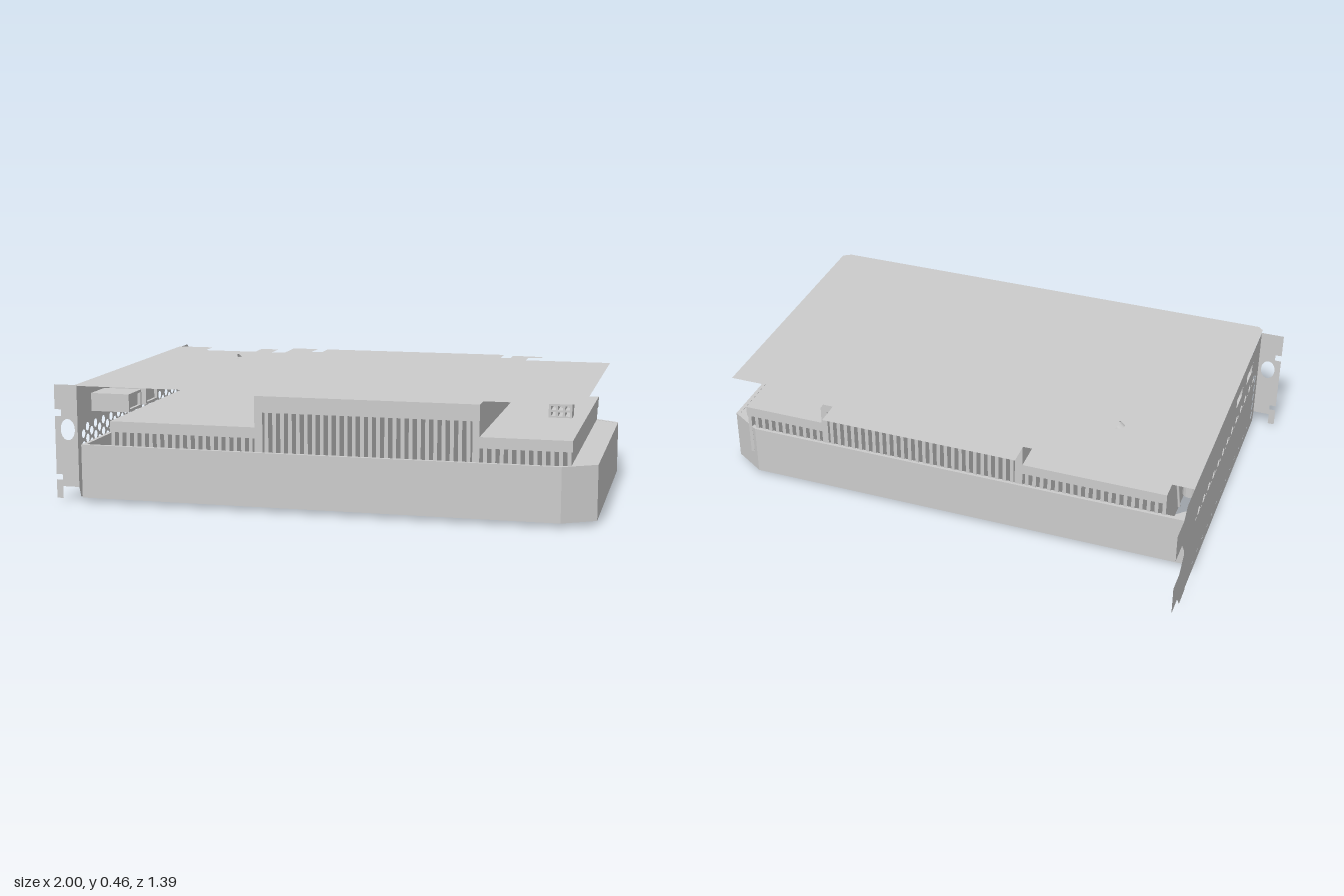
import * as THREE from 'three';
import { mergeGeometries } from 'three/addons/utils/BufferGeometryUtils.js';

const mat = new THREE.MeshStandardMaterial({ color: 0xcccccc, flatShading: true });
const thin = new THREE.MeshStandardMaterial({ color: 0xcccccc, flatShading: true, side: THREE.DoubleSide });
const smooth = new THREE.MeshStandardMaterial({ color: 0xcccccc, side: THREE.DoubleSide });

const shapeOf = pts => new THREE.Shape(pts.map(p => new THREE.Vector2(p[0], p[1])));
const rect = (x0, y0, x1, y1) => [[x0, y0], [x1, y0], [x1, y1], [x0, y1]];
const hole = pts => new THREE.Path(pts.map(p => new THREE.Vector2(p[0], p[1])));

function mesh(parent, name, geo, material = mat) {
  const m = new THREE.Mesh(geo, material);
  m.name = name;
  parent.add(m);
  return m;
}

// Box given by its lower and upper corner
function boxGeo(x0, y0, z0, x1, y1, z1) {
  return new THREE.BoxGeometry(x1 - x0, y1 - y0, z1 - z0)
    .translate((x0 + x1) / 2, (y0 + y1) / 2, (z0 + z1) / 2);
}

// Plan outline (x, z) extruded downwards from yTop
function slab(shape, yTop, depth) {
  return new THREE.ExtrudeGeometry(shape, { depth, bevelEnabled: false, curveSegments: 8 })
    .rotateX(Math.PI / 2).translate(0, yTop, 0);
}

const FANS = [[-0.41, 0.13], [0.48, 0.13]];

function buildShroud(g) {
  const outer = [[-0.9, -0.37], [0.875, -0.37], [0.995, -0.295], [0.995, 0.58], [0.875, 0.65], [-0.9, 0.65]];
  const inner = [[-0.885, -0.355], [0.87, -0.355], [0.98, -0.286], [0.98, 0.57], [0.87, 0.635], [-0.885, 0.635]];
  const wall = shapeOf(outer);
  wall.holes.push(hole(inner));
  mesh(g, 'shroudWall', slab(wall, 0.22, 0.188));
  // Face plate with an eight-sided opening for each fan
  const plate = shapeOf(outer);
  const a = 0.4, b = 0.2;
  for (const [cx, cz] of FANS) {
    plate.holes.push(hole([[-b, -a], [b, -a], [a, -b], [a, b], [b, a], [-b, a], [-a, b], [-a, -b]]
      .map(([x, z]) => [cx + x, cz + z])));
  }
  mesh(g, 'shroudFace', slab(plate, 0.034, 0.014));
  mesh(g, 'shroudEndLedge', slab(shapeOf([[0.9, -0.354], [0.995, -0.295], [0.995, 0.58], [0.9, 0.635]]), 0.219, 0.01));
}

function buildFan(g, cx, cz) {
  const fan = new THREE.Group();
  fan.name = 'fan';
  fan.position.set(cx, 0, cz);
  g.add(fan);
  const hub = [[0, 0.004], [0.1, 0.004], [0.11, 0.014], [0.11, 0.09], [0, 0.09]];
  mesh(fan, 'fanHub', new THREE.LatheGeometry(hub.map(p => new THREE.Vector2(p[0], p[1])), 28), thin);
  // One swept blade, pitched from leading to trailing edge
  const blade = new THREE.PlaneGeometry(1, 1, 6, 3);
  const p = blade.attributes.position;
  for (let i = 0; i < p.count; i++) {
    const t = p.getX(i) + 0.5, s = p.getY(i) + 0.5;
    const r = 0.1 + 0.24 * t;
    const ang = s * 0.4 + 0.28 * t * t;
    p.setXYZ(i, r * Math.cos(ang), 0.012 + 0.065 * s + 0.012 * s * (1 - s), r * Math.sin(ang));
  }
  blade.computeVertexNormals();
  const n = 15;
  for (let i = 0; i < n; i++) mesh(fan, 'fanBlade', blade, smooth).rotation.y = i * 2 * Math.PI / n;
  // Motor mount behind the hub
  mesh(fan, 'fanMount', new THREE.CylinderGeometry(0.06, 0.06, 0.03, 20).translate(0, 0.1, 0));
}

function buildHeatsink(g) {
  const z0 = -0.36, z1 = 0.635, fins = [];
  for (let i = 0; i < 58; i++) {
    const x = -0.783 + i * 0.0295;
    const top = x > -0.22 && x < 0.57 ? 0.37 : 0.28;
    fins.push(boxGeo(x - 0.007, 0.1, z0, x + 0.007, top, z1 - 0.01));
  }
  mesh(g, 'heatsinkFins', mergeGeometries(fins));
  mesh(g, 'heatsinkLowTopRight', boxGeo(-0.79, 0.27, z0, -0.235, 0.31, z1));
  mesh(g, 'heatsinkLowTopLeft', boxGeo(0.585, 0.27, z0, 0.91, 0.31, z1));
  mesh(g, 'heatsinkTallTop', boxGeo(-0.235, 0.365, z0, 0.585, 0.425, z1));
  mesh(g, 'heatsinkTallEnd', boxGeo(-0.235, 0.22, z0, -0.205, 0.37, z1));
  mesh(g, 'heatsinkTallEnd', boxGeo(0.56, 0.22, z0, 0.585, 0.37, z1));
}

function buildBoard(g) {
  const outline = [[-0.91, 0.67], [-0.89, 0.69], [0.92, 0.69], [0.95, 0.67], [0.95, -0.375], [0.61, -0.375],
    [0.61, -0.455], [0.66, -0.455], [0.67, -0.475], [0.655, -0.49], [0.54, -0.5], [0.54, -0.425], [0.5, -0.425],
    [0.5, -0.52], [-0.26, -0.52], [-0.26, -0.43], [-0.305, -0.43], [-0.305, -0.52], [-0.41, -0.52],
    [-0.41, -0.375], [-0.465, -0.375], [-0.465, -0.47], [-0.54, -0.47], [-0.54, -0.375], [-0.76, -0.375],
    [-0.76, -0.47], [-0.91, -0.47]];
  mesh(g, 'circuitBoard', new THREE.ShapeGeometry(shapeOf(outline)).rotateX(Math.PI / 2).translate(0, 0.446, 0), thin);
  // Chips on the underside
  for (const x of [-0.16, 0.005, 0.175, 0.35, 0.527])
    for (const z of [-0.27, 0.05, 0.42])
      mesh(g, 'chip', boxGeo(x - 0.065, 0.424, z - 0.07, x + 0.065, 0.445, z + 0.07));
  for (let i = 0; i < 6; i++) {
    mesh(g, 'smallChip', boxGeo(-0.52 + i * 0.04, 0.436, 0.1, -0.495 + i * 0.04, 0.445, 0.15));
    mesh(g, 'smallChip', boxGeo(0.64 + i * 0.035, 0.436, 0.3 - i * 0.07, 0.665 + i * 0.035, 0.445, 0.34 - i * 0.07));
  }
  mesh(g, 'squareChip', boxGeo(0.68, 0.436, -0.25, 0.8, 0.445, -0.13));
  // Power socket with a row of pins
  const socket = shapeOf(rect(0.83, 0.398, 0.91, 0.445));
  for (let i = 0; i < 3; i++)
    for (let j = 0; j < 2; j++) {
      const x = 0.838 + i * 0.024, y = 0.403 + j * 0.021;
      socket.holes.push(hole(rect(x, y, x + 0.016, y + 0.014)));
    }
  mesh(g, 'powerSocket', new THREE.ExtrudeGeometry(socket, { depth: 0.065, bevelEnabled: false }).translate(0, 0, 0.62));
  for (let i = 0; i < 3; i++) mesh(g, 'powerPin', boxGeo(0.843 + i * 0.024, 0.41, 0.54, 0.849 + i * 0.024, 0.445, 0.63));
}

// Bracket profile uses (-z, y) and is turned to face sideways
const PORTS = [[-0.46, 0.36], [-0.28, 0.36]];

function buildBracket(g) {
  const x = -0.91;
  const plate = shapeOf([[-0.655, 0.06], [-0.64, 0.02], [0.5, 0.02], [0.5, 0.012], [0.58, 0.008], [0.62, 0.062],
    [0.7, 0.062], [0.7, 0.175], [0.62, 0.175], [0.565, 0.22], [0.565, 0.24], [0.61, 0.3], [0.7, 0.3], [0.7, 0.405],
    [0.61, 0.405], [0.565, 0.443], [-0.655, 0.443]]);
  // Staggered vent holes
  for (let c = 0; c < 27; c++)
    for (let r = 0; r < 5; r++) {
      const u = 0.4 - c * 0.0385, v = 0.074 + r * 0.0445 + (c % 2) * 0.022;
      plate.holes.push(new THREE.Path().absarc(u, v, 0.0165, 0, Math.PI * 2, true));
    }
  for (const [u, v] of PORTS) plate.holes.push(hole(rect(u - 0.055, v - 0.024, u + 0.055, v + 0.024)));
  mesh(g, 'bracketPlate', new THREE.ShapeGeometry(plate, 5).rotateY(Math.PI / 2).translate(x, 0, 0), thin);

  // Bent mounting lip with its screw hole and notches
  const lip = shapeOf([[-1, 0.015], [-0.975, 0.015], [-0.975, 0.06], [-0.91, 0.06], [-0.91, 0.443], [-1, 0.443],
    [-1, 0.35], [-0.975, 0.35], [-0.975, 0.325], [-1, 0.325], [-1, 0.105], [-0.975, 0.105], [-0.975, 0.085], [-1, 0.085]]);
  lip.holes.push(new THREE.Path().absellipse(-0.95, 0.275, 0.028, 0.04, 0, Math.PI * 2, true));
  mesh(g, 'bracketLip', new THREE.ShapeGeometry(lip).translate(0, 0, 0.653), thin);

  // Display sockets behind the bracket
  for (const [u, v] of PORTS) {
    const frame = shapeOf(rect(u - 0.065, v - 0.034, u + 0.065, v + 0.034));
    frame.holes.push(hole(rect(u - 0.055, v - 0.024, u + 0.055, v + 0.024)));
    mesh(g, 'displaySocket', new THREE.ExtrudeGeometry(frame, { depth: 0.15, bevelEnabled: false })
      .rotateY(Math.PI / 2).translate(x + 0.002, 0, 0));
    mesh(g, 'socketBack', boxGeo(-0.8, v - 0.03, -u - 0.06, -0.77, v + 0.03, -u + 0.06));
    mesh(g, 'socketTongue', boxGeo(-0.9, v - 0.006, -u - 0.035, -0.78, v + 0.006, -u + 0.035));
  }
}

function buildLooseParts(g) {
  // Upright capacitor and cable near the bracket
  mesh(g, 'capacitor', new THREE.CylinderGeometry(0.028, 0.028, 0.135, 16).translate(-0.865, 0.378, -0.32));
  mesh(g, 'cableSocket', boxGeo(-0.83, 0.4, -0.34, -0.785, 0.445, -0.28));
  const cable = new THREE.CatmullRomCurve3([[-0.88, 0.36], [-0.75, 0.36], [-0.65, 0.375], [-0.58, 0.41], [-0.54, 0.443]]
    .map(([x, y]) => new THREE.Vector3(x, y, -0.18)));
  mesh(g, 'cable', new THREE.TubeGeometry(cable, 20, 0.024, 10), smooth);
  const wire = new THREE.CatmullRomCurve3([[-0.82, 0.21], [-0.81, 0.3], [-0.8, 0.4]]
    .map(([x, y]) => new THREE.Vector3(x, y, -0.28)));
  mesh(g, 'fanWire', new THREE.TubeGeometry(wire, 8, 0.005, 6), smooth);
}

export function createModel() {
  const g = new THREE.Group();
  g.name = 'graphicsCard';
  buildShroud(g);
  for (const [x, z] of FANS) buildFan(g, x, z);
  buildHeatsink(g);
  buildBoard(g);
  buildBracket(g);
  buildLooseParts(g);
  return g;
}
